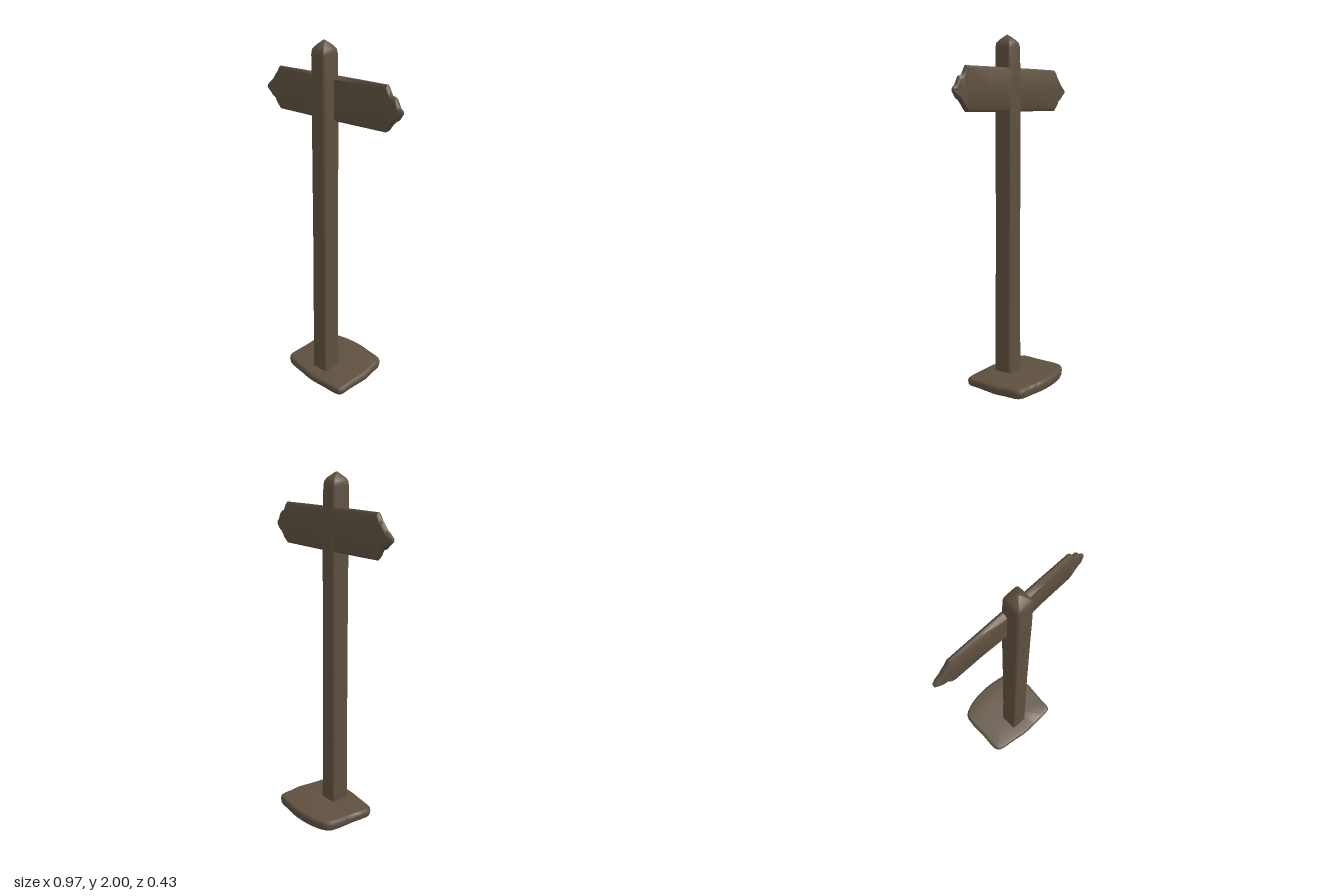
import * as THREE from 'three';
import { toCreasedNormals } from 'three/addons/utils/BufferGeometryUtils.js';

const wood = new THREE.MeshStandardMaterial({ color: 0x5e5040 });
wood.name = 'weathered wood';

// Skin a list of equal rings of [x, y, z] and close both ends with a fan.
// Rings run counter-clockwise seen from the last ring's side.
function loft(name, rings, crease) {
  const n = rings[0].length, last = rings.length - 1;
  const middle = (ring) => [0, 1, 2].map((k) => ring.reduce((s, p) => s + p[k], 0) / n);
  const points = [...rings.flat(), middle(rings[0]), middle(rings[last])];
  const start = rings.length * n, index = [];
  for (let j = 0; j < n; j++) {
    const k = (j + 1) % n;
    for (let i = 0; i < last; i++) {
      const a = i * n + j, b = i * n + k;
      index.push(a, b, b + n, a, b + n, a + n);
    }
    index.push(start, k, j, start + 1, last * n + j, last * n + k);
  }
  const geometry = new THREE.BufferGeometry();
  geometry.setAttribute('position', new THREE.Float32BufferAttribute(points.flat(), 3));
  geometry.setIndex(index);
  const mesh = new THREE.Mesh(toCreasedNormals(geometry, crease), wood);
  mesh.name = name;
  return mesh;
}

// Rounded rectangle, counter-clockwise, as [u, v] pairs.
function roundedRect(u0, u1, v0, v1, r) {
  const out = [];
  const corners = [[u1 - r, v1 - r], [u0 + r, v1 - r], [u0 + r, v0 + r], [u1 - r, v0 + r]];
  corners.forEach(([u, v], c) => {
    for (let s = 0; s <= 3; s++) {
      const t = (c + s / 3) * Math.PI / 2;
      out.push([u + r * Math.cos(t), v + r * Math.sin(t)]);
    }
  });
  return out;
}

// Square post with a blunt pyramid top; rows are y, x range, z range, corner radius
function post() {
  const rows = [
    [0.03, -0.053, 0.057, 0.018, 0.136, 0.012],
    [0.4, -0.051, 0.053, 0.02, 0.135, 0.013],
    [0.9, -0.05, 0.051, 0.018, 0.132, 0.014],
    [1.45, -0.05, 0.05, 0.014, 0.131, 0.015],
    [1.7, -0.05, 0.05, 0.014, 0.131, 0.015],
    [1.93, -0.049, 0.049, 0.018, 0.13, 0.015],
    [1.955, -0.046, 0.046, 0.023, 0.127, 0.015],
    [1.97, -0.036, 0.036, 0.034, 0.117, 0.014],
    [1.992, -0.014, 0.014, 0.062, 0.09, 0.008],
    [2.0, -0.004, 0.004, 0.073, 0.081, 0.003],
  ];
  return loft('post', rows.map(([y, x0, x1, z0, z1, r]) =>
    roundedRect(x0, x1, -z1, -z0, r).map(([u, v]) => [u, y, -v])), 0.7);
}

// Board with notched pointed ends; rows are x, bottom y, top y
function board() {
  const rows = [
    [-0.485, 1.685, 1.703], [-0.465, 1.67, 1.722], [-0.44, 1.646, 1.74],
    [-0.415, 1.636, 1.772], [-0.4, 1.604, 1.787], [-0.38, 1.583, 1.82],
    [-0.2, 1.583, 1.821], [-0.08, 1.582, 1.821], [0, 1.582, 1.821],
    [0.08, 1.583, 1.821], [0.2, 1.584, 1.821], [0.385, 1.586, 1.82],
    [0.403, 1.6, 1.787], [0.415, 1.618, 1.772], [0.44, 1.646, 1.764],
    [0.46, 1.657, 1.724], [0.482, 1.688, 1.705],
  ];
  return loft('signBoard', rows.map(([x, lo, hi]) => {
    const mid = (lo + hi) / 2, half = (hi - lo) / 2;
    const edge = Math.min(0.016, half * 0.6);
    // The face swells a little towards the post
    const front = 0.05 + 0.012 * Math.max(0, 1 - Math.abs(x) / 0.25);
    const back = 0.016, tip = Math.abs(x) > 0.475 ? 0.008 : 0;
    return [
      [hi, 0.028], [hi, 0.04], [hi - edge, front - tip],
      [mid, front - 0.004 - tip], [lo + edge, front - tip],
      [lo, 0.04], [lo, 0.028], [lo + edge, back + tip],
      [mid, back + 0.003 + tip], [hi - edge, back + tip],
    ].map(([y, z]) => [x, y, z]);
  }), 0.75);
}

// Uneven rounded slab, thicker and lifted towards the back
function base() {
  const outline = [
    [-0.235, -0.13], [-0.215, -0.165], [-0.15, -0.196], [-0.05, -0.213],
    [0.04, -0.213], [0.13, -0.2], [0.205, -0.187], [0.224, -0.165],
    [0.233, -0.09], [0.244, -0.03], [0.24, 0.05], [0.235, 0.12],
    [0.232, 0.185], [0.215, 0.202], [0.1, 0.208], [0, 0.21],
    [-0.1, 0.195], [-0.22, 0.172], [-0.24, 0.15], [-0.245, 0.12], [-0.24, 0.03],
  ].reverse();
  const curve = new THREE.CatmullRomCurve3(
    outline.map(([x, z]) => new THREE.Vector3(x, 0, z)), true);
  const rim = curve.getPoints(63).slice(0, 63);
  // Each layer: outline scale and height from underside (0) to top (1)
  const layers = [[0.5, 0], [0.93, 0], [0.975, 0.08], [0.99, 0.25], [1, 0.6],
    [0.99, 0.85], [0.96, 0.97], [0.92, 1], [0.5, 1.03]];
  return loft('base', layers.map(([s, h]) => rim.map((p) => {
    const x = p.x * s, z = p.z * s;
    const low = Math.max(0, 0.005 - 0.025 * z);
    const high = 0.061 - 0.055 * z - 0.01 * x;
    return [x, low + (high - low) * h, z];
  })), 0.8);
}

export function createModel() {
  const group = new THREE.Group();
  group.name = 'signpost';
  group.add(base(), post(), board());
  return group;
}
